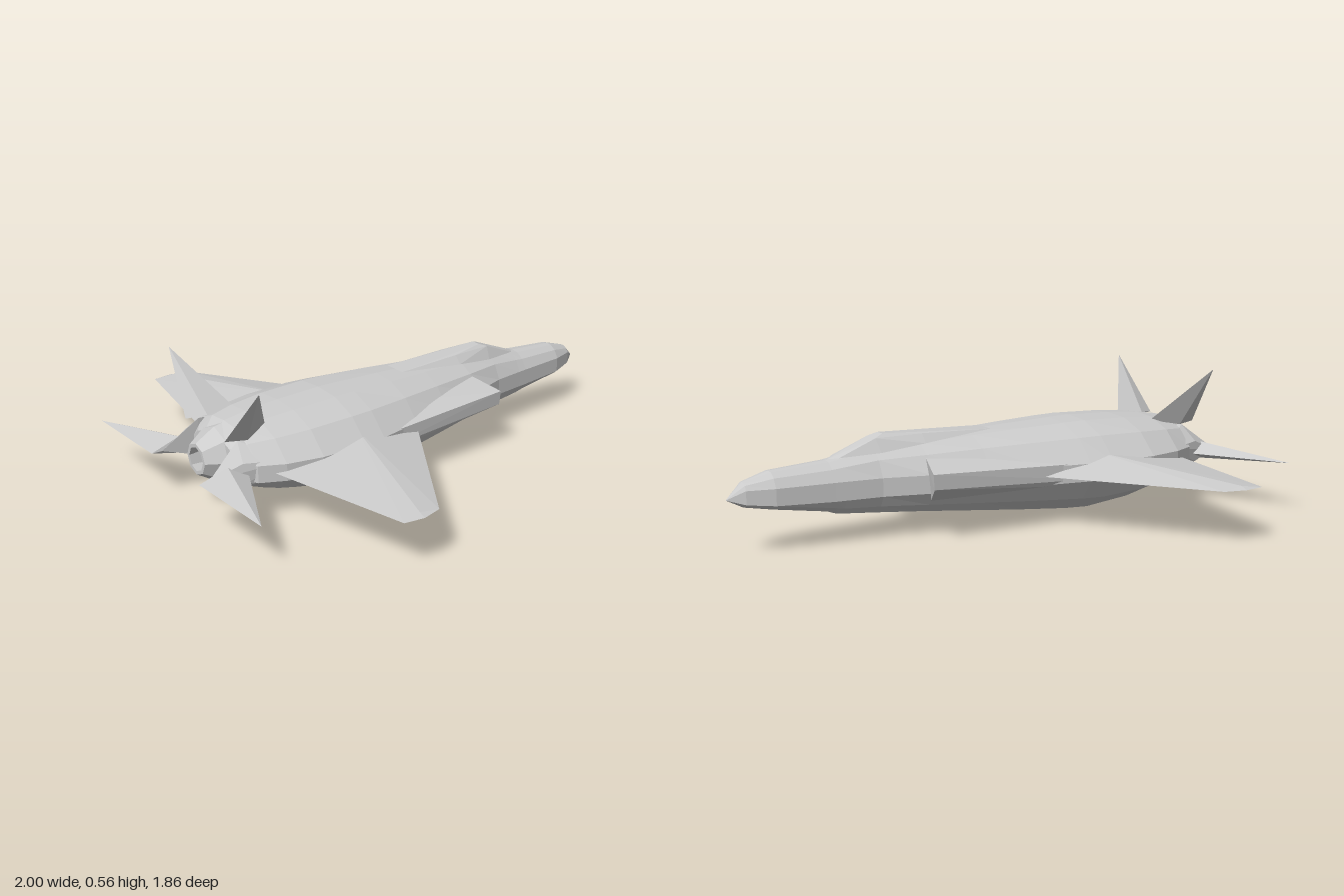
import * as THREE from 'three';
import { ConvexGeometry } from 'three/addons/geometries/ConvexGeometry.js';

const grey = new THREE.MeshStandardMaterial({ color: 0xcccccc, flatShading: true, side: THREE.DoubleSide });

// Points are given as [sideways, height, distance forward]; the nose looks along local -z.
const toVector = ([t, y, s], side = 1) => new THREE.Vector3(t * side, y, -s);

function addMesh(parent, name, geometry) {
  const mesh = new THREE.Mesh(geometry, grey);
  mesh.name = name;
  parent.add(mesh);
  return mesh;
}

// Faceted solid around a few corner points
function addSolid(parent, name, points, side = 1) {
  return addMesh(parent, name, new ConvexGeometry(points.map((p) => toVector(p, side))));
}

// Closed hull cross-section: flat top, vertical chine, rounded belly
function hullRing([s, w, top, bottom]) {
  const up = Math.min(0.235, 0.2 + (top - 0.2) * 0.55);
  const low = Math.max(0.165, 0.2 - (0.2 - bottom) * 0.55);
  const mix = THREE.MathUtils.lerp;
  const half = [
    [0, top], [0.36, mix(up, top, 0.94)], [0.72, mix(up, top, 0.62)], [1, up],
    [1, low], [0.8, mix(low, bottom, 0.5)], [0.42, mix(low, bottom, 0.88)], [0, bottom],
  ];
  const mirrored = half.slice(1, -1).reverse().map(([u, y]) => [-u, y]);
  return [...half, ...mirrored].map(([u, y]) => [u * w, y, -s]);
}

function loft(rings) {
  const n = rings[0].length;
  const index = [];
  for (let r = 0; r < rings.length - 1; r++) {
    for (let i = 0; i < n; i++) {
      const j = (i + 1) % n;
      const a = r * n + i, b = r * n + j, c = a + n, d = b + n;
      index.push(a, c, b, b, c, d);
    }
  }
  const geometry = new THREE.BufferGeometry();
  geometry.setAttribute('position', new THREE.Float32BufferAttribute(rings.flat(2), 3));
  geometry.setIndex(index);
  geometry.computeVertexNormals();
  return geometry;
}

export function createModel() {
  const model = new THREE.Group();
  model.name = 'jetFighter';
  const jet = new THREE.Group();
  jet.name = 'airframe';
  jet.rotation.y = -0.851;
  jet.position.set(-0.026, 0, -0.03);
  model.add(jet);

  // Fuselage stations: forward position, half width, top, bottom
  const stations = [
    [1.36, 0.001, 0.201, 0.199],
    [1.3, 0.04, 0.26, 0.168],
    [1.2, 0.072, 0.29, 0.15],
    [0.98, 0.092, 0.305, 0.112],
    [0.94, 0.096, 0.312, 0.098],
    [0.8, 0.112, 0.335, 0.084],
    [0.62, 0.165, 0.347, 0.068],
    [0.4, 0.22, 0.36, 0.045],
    [0.2, 0.268, 0.37, 0.024],
    [0, 0.308, 0.377, 0.005],
    [-0.1, 0.318, 0.379, 0],
    [-0.3, 0.315, 0.372, 0.022],
    [-0.45, 0.283, 0.36, 0.062],
    [-0.55, 0.235, 0.345, 0.105],
    [-0.6, 0.16, 0.3, 0.145],
    [-0.605, 0.001, 0.221, 0.219],
  ];
  addMesh(jet, 'fuselage', loft(stations.map(hullRing)));

  // Canopy with its long tapering spine
  addSolid(jet, 'canopy', [
    [0, 0.306, 0.97],
    ...[-1, 1].flatMap((m) => [
      [m * 0.035, 0.312, 0.94], [m * 0.065, 0.32, 0.78], [m * 0.035, 0.372, 0.79],
      [m * 0.02, 0.385, 0.755], [m * 0.075, 0.34, 0.6], [m * 0.045, 0.374, 0.6],
      [m * 0.05, 0.365, 0.3],
    ]),
  ]);

  for (const side of [-1, 1]) {
    const half = new THREE.Group();
    half.name = side > 0 ? 'starboardParts' : 'portParts';
    jet.add(half);

    // Air intake with a raked lip
    addSolid(half, 'airIntake', [
      [0.1, 0.3, 0.62], [0.12, 0.12, 0.61], [0.26, 0.258, 0.67], [0.258, 0.2, 0.665],
      [0.27, 0.245, 0.2], [0.27, 0.16, 0.2], [0.29, 0.235, 0], [0.29, 0.17, 0],
      [0.1, 0.3, 0], [0.1, 0.1, 0],
    ], side);

    // Main wing, a thin double wedge
    addSolid(half, 'wing', [
      [0.2, 0.2, 0.252], [0.866, 0.202, -0.194], [0.889, 0.202, -0.28], [0.877, 0.202, -0.365],
      [0.2, 0.2, -0.503], [0.24, 0.262, -0.08], [0.24, 0.155, -0.08],
      [0.86, 0.213, -0.28], [0.86, 0.196, -0.28],
    ], side);

    // Boom carrying the tail surfaces
    addSolid(half, 'tailBoom', [
      [0.12, 0.31, -0.42], [0.27, 0.24, -0.42], [0.25, 0.15, -0.42], [0.13, 0.13, -0.42],
      [0.14, 0.315, -0.58], [0.21, 0.25, -0.6], [0.21, 0.165, -0.6], [0.15, 0.16, -0.6],
      [0.175, 0.2, -0.73],
    ], side);

    // Horizontal tail
    addSolid(half, 'tailplane', [
      [0.16, 0.2, -0.55], [0.595, 0.2, -0.775], [0.178, 0.2, -0.775],
      [0.18, 0.24, -0.65], [0.18, 0.17, -0.65],
    ], side);

    // Canted fin
    addSolid(half, 'verticalFin', [
      [0.112, 0.34, -0.435], [0.142, 0.325, -0.637], [0.322, 0.563, -0.594],
      [0.105, 0.335, -0.56], [0.168, 0.32, -0.55],
    ], side);
  }

  // Engine nozzle, hollow at the rear
  const nozzleProfile = [[0.125, 0], [0.115, 0.05], [0.065, 0.135], [0.05, 0.135], [0.06, 0.07], [0, 0.06]];
  const nozzle = addMesh(jet, 'engineNozzle', new THREE.LatheGeometry(
    nozzleProfile.map(([r, h]) => new THREE.Vector2(r, h)), 8));
  nozzle.rotation.x = Math.PI / 2;
  nozzle.position.set(0, 0.215, 0.545);

  return model;
}
